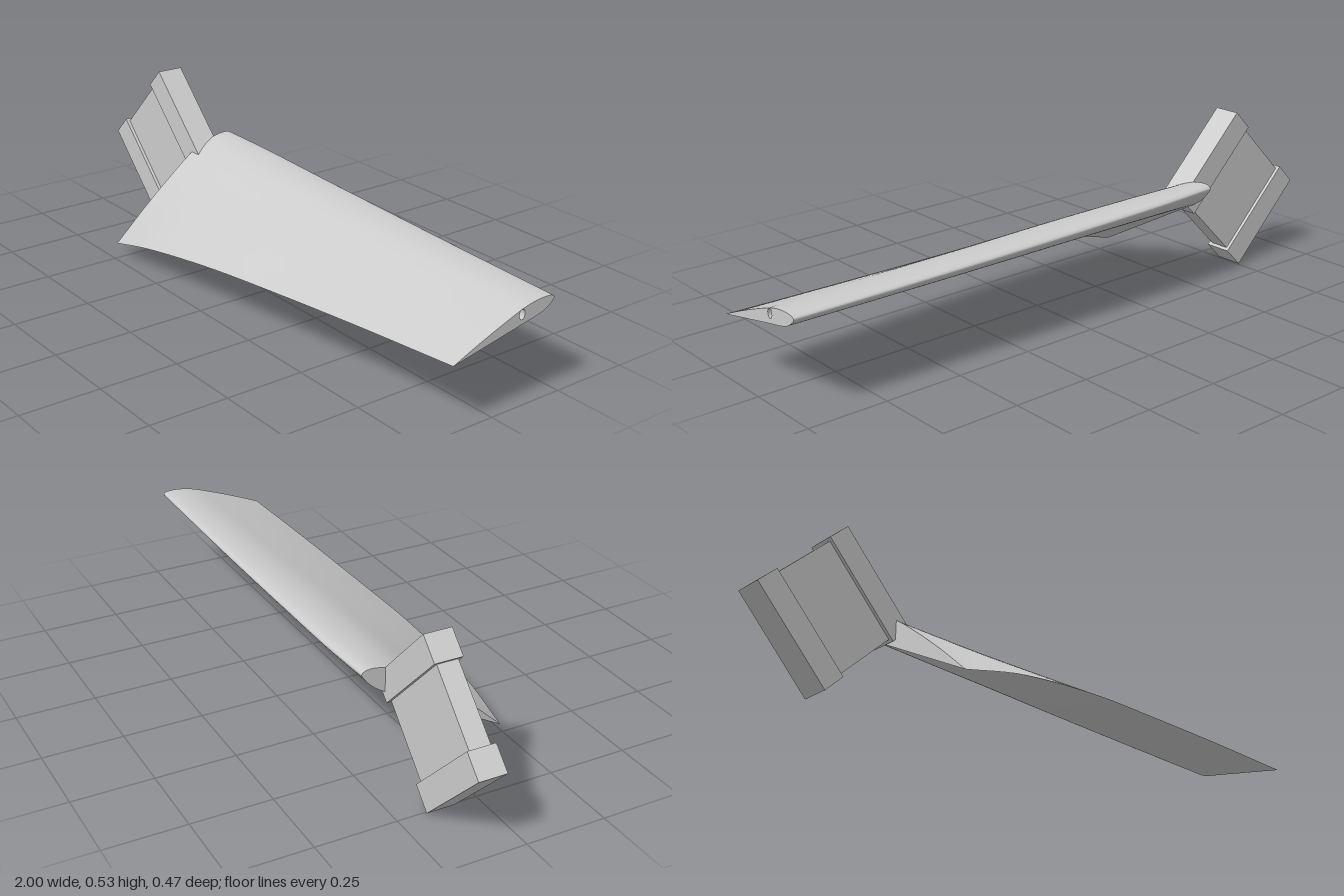
import * as THREE from 'three';

const TIP_X = 1, ROOT_X = -0.52;

// Trailing and leading edges of the twisted blade, from root to tip
const curve = (pts) => new THREE.CatmullRomCurve3(pts.map((p) => new THREE.Vector3(...p)), false, 'catmullrom');
const trailing = curve([[ROOT_X, 0.045, 0.228], [-0.3, 0.098, 0.235], [0, 0.14, 0.222],
  [0.3, 0.163, 0.2], [0.65, 0.184, 0.175], [TIP_X, 0.2, 0.15]]);
const leading = curve([[ROOT_X, 0.338, -0.235], [-0.3, 0.33, -0.238], [0, 0.32, -0.232],
  [0.3, 0.312, -0.226], [0.65, 0.304, -0.217], [TIP_X, 0.298, -0.208]]);

// Airfoil: position along the chord and height over it, upper side first
const airfoil = new THREE.SplineCurve([[0, 0], [0.25, 0.033], [0.5, 0.058], [0.71, 0.072], [0.85, 0.061],
  [0.96, 0.032], [1, 0], [0.965, -0.03], [0.86, -0.057], [0.64, -0.044], [0.43, -0.03], [0.2, -0.014], [0, 0]]
  .map((p) => new THREE.Vector2(...p))).getPoints(72);

function section(t) {
  const te = trailing.getPoint(t), chord = leading.getPoint(t).sub(te);
  const up = new THREE.Vector3(0, -chord.z, chord.y); // normal, as long as the chord
  return airfoil.map((p) => {
    const scale = p.y > 0 ? 1.4 - 0.4 * t : 0.8 + 0.2 * t;
    return te.clone().addScaledVector(chord, p.x).addScaledVector(up, p.y * scale);
  });
}

function bladeSkin(steps) {
  const pos = [], index = [], n = airfoil.length;
  for (let i = 0; i <= steps; i++) {
    for (const p of section(i / steps)) pos.push(p.x, p.y, p.z);
    if (i === steps) break;
    for (let j = 0; j < n - 1; j++) {
      const a = i * n + j, b = a + 1, c = a + n, d = c + 1;
      index.push(a, c, b, b, c, d);
    }
  }
  const g = new THREE.BufferGeometry();
  g.setAttribute('position', new THREE.Float32BufferAttribute(pos, 3));
  g.setIndex(index);
  g.computeVertexNormals();
  return g;
}

// Flat end face of the blade; side is 1 at the tip and -1 at the root
function endCap(t, side, hole) {
  const pts = section(t).slice(0, -1).map((p) => new THREE.Vector2(-side * p.z, p.y));
  const shape = new THREE.Shape(pts);
  if (hole) shape.holes.push(hole);
  return new THREE.ShapeGeometry(shape).rotateY(side * Math.PI / 2).translate(side > 0 ? TIP_X : ROOT_X, 0, 0);
}

export function createModel() {
  const model = new THREE.Group();
  const grey = new THREE.MeshStandardMaterial({ color: 0xcccccc });
  grey.name = 'light grey';
  grey.side = THREE.DoubleSide;
  const add = (parent, name, geometry) => {
    const mesh = new THREE.Mesh(geometry, grey);
    mesh.name = name;
    parent.add(mesh);
    return mesh;
  };

  // Blade with a small socket in its tip
  const blade = new THREE.Group();
  blade.name = 'blade';
  model.add(blade);
  add(blade, 'bladeSkin', bladeSkin(48));
  const hole = new THREE.Path().absellipse(0.09, 0.278, 0.01, 0.0155, 0, Math.PI * 2, true);
  add(blade, 'tipCap', endCap(1, 1, hole));
  add(blade, 'rootCap', endCap(0, -1));
  const socket = add(blade, 'tipSocket', new THREE.CylinderGeometry(1, 1, 0.1, 24, 1, true).rotateZ(Math.PI / 2));
  socket.scale.set(1, 0.0155, 0.01);
  socket.position.set(TIP_X - 0.05, 0.278, -0.09);
  const floor = add(blade, 'socketFloor', new THREE.CircleGeometry(1, 24).rotateY(Math.PI / 2));
  floor.scale.set(1, 0.0155, 0.01);
  floor.position.set(TIP_X - 0.1, 0.278, -0.09);

  // Spool-shaped mount turned by 45 degrees: a core between two flanges
  const mount = new THREE.Group();
  mount.name = 'mount';
  mount.position.set(-0.735, 0.269, -0.118);
  mount.rotation.z = Math.PI / 4;
  model.add(mount);
  const length = 0.406, width = 0.346, flange = 0.084;
  add(mount, 'mountCore', new THREE.BoxGeometry(length - 2 * flange, width - 0.02, 0.066));
  for (const s of [-1, 1]) {
    add(mount, s < 0 ? 'lowerFlange' : 'upperFlange', new THREE.BoxGeometry(flange, width, 0.088))
      .position.x = s * (length - flange) / 2;
  }
  return model;
}
